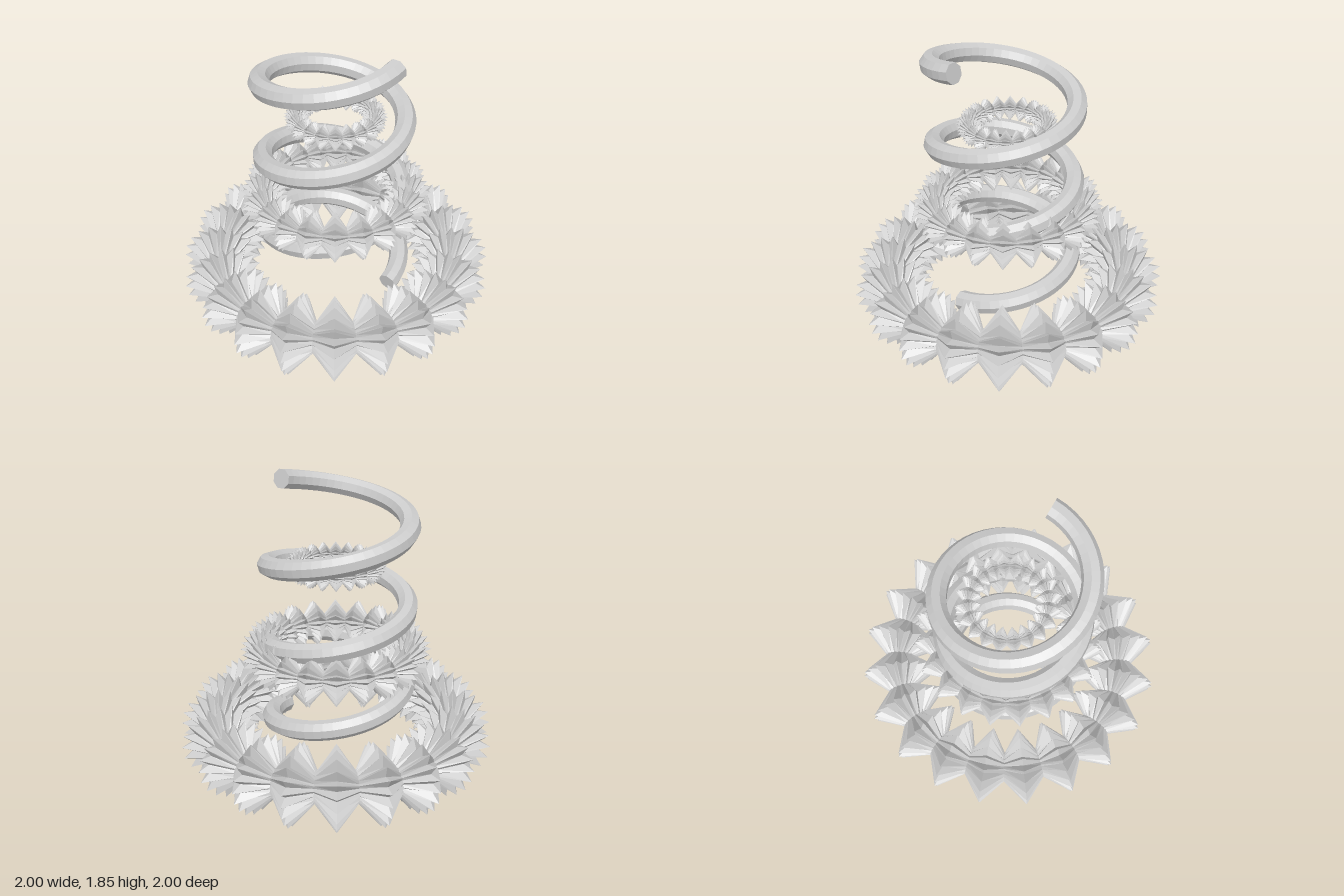
import * as THREE from 'three';

const material = new THREE.MeshStandardMaterial({ color: 0xcccccc, flatShading: true, side: THREE.DoubleSide });

// Torus whose tube swells to 20 points around the ring and is pleated around its section
function spikyRing(name, size, y) {
  const points = 20, pleats = 20;
  const nu = points * 2, nv = pleats * 2;
  const positions = [], index = [];
  for (let i = 0; i < nu; i++) {
    const a = (i / nu) * Math.PI * 2;
    for (let j = 0; j < nv; j++) {
      const b = (j / nv) * Math.PI * 2;
      const ridge = j % 2 === 0;
      const r = i % 2 === 0 ? (ridge ? 0.25 : 0.18) : (ridge ? 0.095 : 0.08);
      const d = 0.75 + r * Math.cos(b);
      positions.push(d * Math.cos(a), r * Math.sin(b), d * Math.sin(a));
      const i2 = (i + 1) % nu, j2 = (j + 1) % nv;
      const p = i * nv + j, q = i2 * nv + j, s = i2 * nv + j2, t = i * nv + j2;
      // Split each quad along the diagonal that follows the ridge
      index.push(p, t, s, p, s, q);
    }
  }
  const geometry = new THREE.BufferGeometry();
  geometry.setAttribute('position', new THREE.Float32BufferAttribute(positions, 3));
  geometry.setIndex(index);
  geometry.computeVertexNormals();
  const mesh = new THREE.Mesh(geometry, material);
  mesh.name = name;
  mesh.scale.setScalar(size);
  mesh.position.y = y;
  return mesh;
}

// Helix descending three turns from the top
class Helix extends THREE.Curve {
  getPoint(t, target = new THREE.Vector3()) {
    const a = t * Math.PI * 6;
    return target.set(0.427 * Math.cos(a), 1.79 - 1.53 * t, 0.025 + 0.427 * Math.sin(a));
  }
}

function spring() {
  const section = new THREE.Shape();
  const sides = 8;
  for (let i = 0; i < sides; i++) {
    const a = ((i + 0.5) / sides) * Math.PI * 2;
    section[i ? 'lineTo' : 'moveTo'](0.062 * Math.cos(a), 0.062 * Math.sin(a));
  }
  section.closePath();
  const geometry = new THREE.ExtrudeGeometry(section, { steps: 150, extrudePath: new Helix() });
  const mesh = new THREE.Mesh(geometry, material);
  mesh.name = 'spring';
  return mesh;
}

export function createModel() {
  const model = new THREE.Group();
  model.name = 'springTree';
  model.add(
    spikyRing('lowerRing', 1, 0.25),
    spikyRing('middleRing', 0.6, 0.775),
    spikyRing('upperRing', 0.31, 1.325),
    spring()
  );
  return model;
}
